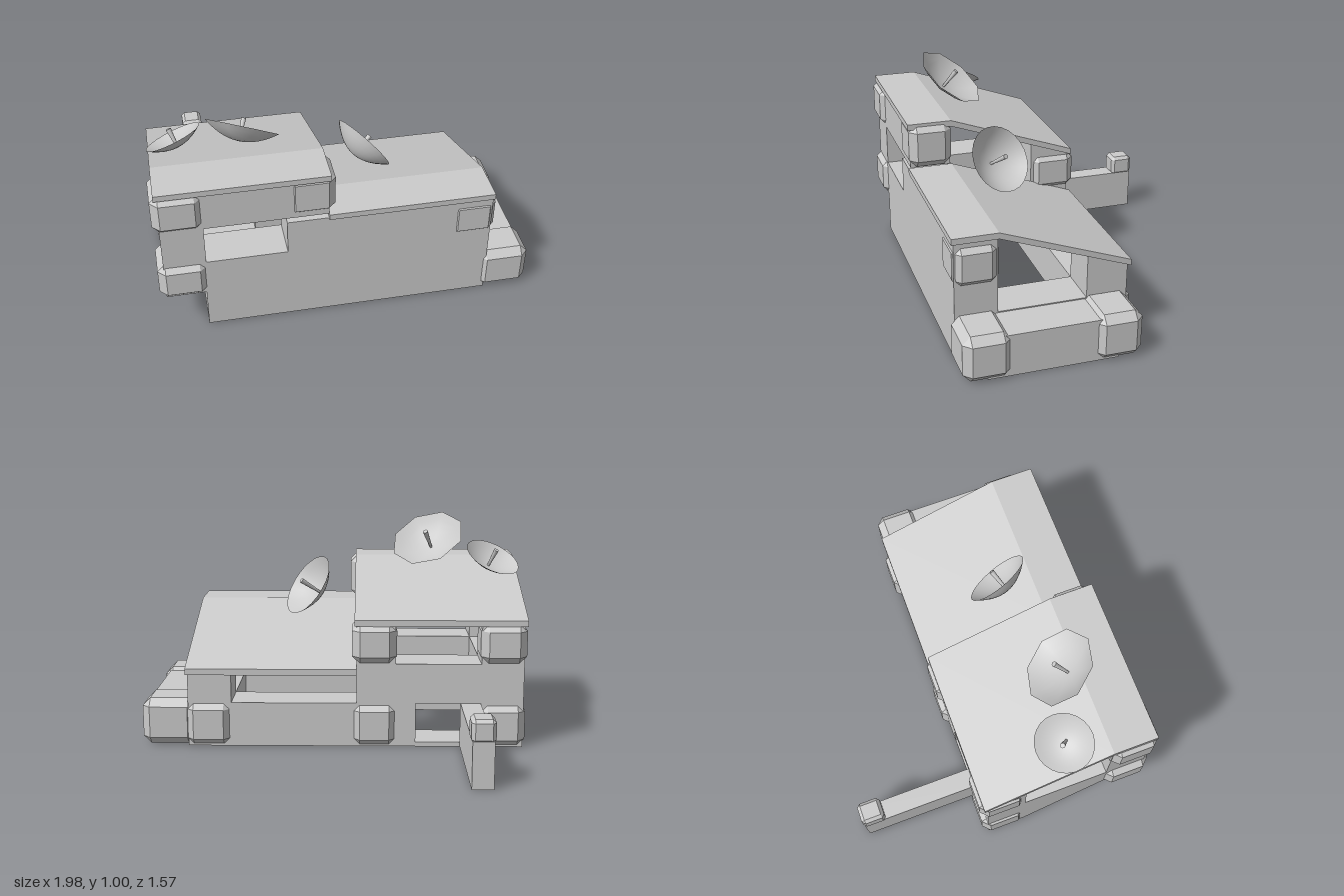
import * as THREE from 'three';
import { ConvexGeometry } from 'three/addons/geometries/ConvexGeometry.js';

const flat = new THREE.MeshStandardMaterial({ color: 0xcccccc, flatShading: true });
const smooth = new THREE.MeshStandardMaterial({ color: 0xcccccc, side: THREE.DoubleSide });

function add(parent, name, geometry, material = flat) {
  const mesh = new THREE.Mesh(geometry, material);
  mesh.name = name;
  parent.add(mesh);
  return mesh;
}

// Box given by its limits along length, height and depth
function block(parent, name, [x0, x1], [y0, y1], [z0, z1]) {
  const g = new THREE.BoxGeometry(x1 - x0, y1 - y0, z1 - z0);
  g.translate((x0 + x1) / 2, (y0 + y1) / 2, (z0 + z1) / 2);
  return add(parent, name, g);
}

// Box with all edges cut off
function chamferBlock(parent, name, [x0, x1], [y0, y1], [z0, z1], c = 0.035) {
  const half = [(x1 - x0) / 2, (y1 - y0) / 2, (z1 - z0) / 2];
  const points = [];
  for (const sx of [-1, 1]) for (const sy of [-1, 1]) for (const sz of [-1, 1]) {
    for (let full = 0; full < 3; full++) {
      const p = [sx, sy, sz].map((s, i) => s * (half[i] - (i === full ? 0 : c)));
      points.push(new THREE.Vector3(...p));
    }
  }
  const g = new ConvexGeometry(points);
  g.translate((x0 + x1) / 2, (y0 + y1) / 2, (z0 + z1) / 2);
  return add(parent, name, g);
}

// Profile of [depth, height] points drawn out along the length
function prism(parent, name, profile, x0, x1) {
  const shape = new THREE.Shape(profile.map(([z, y]) => new THREE.Vector2(-z, y)));
  const g = new THREE.ExtrudeGeometry(shape, { depth: x1 - x0, bevelEnabled: false });
  g.rotateY(Math.PI / 2);
  g.translate(x0, 0, 0);
  return add(parent, name, g);
}

// Roof: level strip at the front, then a slope down to the back
function roof(parent, name, top, eave, x0, x1) {
  const t = 0.028;
  prism(parent, name, [
    [0.43, top], [0.225, top], [-0.37, eave],
    [-0.37, eave - t], [0.225, top - t], [0.43, top - t],
  ], x0, x1);
}

// Column under the sloping part of a roof
function backColumn(parent, name, x0, x1, y0, top, eave) {
  const under = z => eave - 0.025 + (top - eave) * (z + 0.37) / 0.595;
  prism(parent, name, [
    [-0.355, y0], [-0.17, y0], [-0.17, under(-0.17)], [-0.355, under(-0.355)],
  ], x0, x1);
}

// Bowl with a thin feed rod, aimed along a direction
function dish(parent, name, position, aim, radius, depth, sides) {
  const group = new THREE.Group();
  group.name = name;
  const profile = [];
  for (let i = 0; i <= 6; i++) {
    const r = i / 6;
    profile.push(new THREE.Vector2(radius * r, depth * (r * r - 1)));
  }
  add(group, 'bowl', new THREE.LatheGeometry(profile, sides), smooth);
  const rod = add(group, 'feedRod', new THREE.CylinderGeometry(0.012, 0.006, depth + 0.04, 8), smooth);
  rod.position.y = (0.04 - depth) / 2;
  group.position.set(...position);
  group.quaternion.setFromUnitVectors(new THREE.Vector3(0, 1, 0), new THREE.Vector3(...aim).normalize());
  parent.add(group);
}

export function createModel() {
  const model = new THREE.Group();
  model.name = 'outpost';
  const house = new THREE.Group();
  house.name = 'building';
  house.rotation.y = 0.569;
  model.add(house);

  const front = [0.23, 0.42];
  const back = [-0.355, -0.17];

  // Thick front wall with a window beside the overhang
  block(house, 'frontWallBase', [-0.61, 0.712], [0, 0.38], front);
  block(house, 'frontWall', [-0.233, 0.712], [0.38, 0.55], front);
  block(house, 'upperFrontWall', [-0.79, -0.045], [0.575, 0.765], front);
  block(house, 'overhangPost', [-0.79, -0.6], [0.2, 0.6], front);

  // Frame at the overhanging end, braced underneath
  block(house, 'overhangBeam', [-0.79, -0.6], [0.2, 0.38], [-0.2, 0.3]);
  prism(house, 'overhangBrace', [[0.23, 0.2], [-0.17, 0.2], [-0.17, 0]], -0.79, -0.6);

  // Back wall: columns, low wall, raised beam and ground sill
  backColumn(house, 'backEndColumn', -0.79, -0.6, 0, 0.79, 0.58);
  backColumn(house, 'backMiddleColumn', -0.22, -0.045, 0, 0.79, 0.58);
  backColumn(house, 'backCornerColumn', 0.515, 0.71, 0, 0.575, 0.36);
  block(house, 'backLowWall', [-0.31, 0.71], [0, 0.2], back);
  block(house, 'backBeam', [-0.75, -0.1], [0.2, 0.38], back);
  block(house, 'backSill', [-0.7, -0.2], [0, 0.02], back);

  // Low end wall and the step outside it
  block(house, 'endLowWall', [0.515, 0.71], [0, 0.2], [-0.355, 0.42]);
  block(house, 'endStep', [0.7, 0.895], [0, 0.195], [-0.25, 0.33]);
  chamferBlock(house, 'stepBlock', [0.68, 0.92], [0, 0.212], [0.225, 0.435]);
  chamferBlock(house, 'stepBlock', [0.68, 0.92], [0, 0.212], [-0.355, -0.145]);

  // Chamfered blocks at the joints
  for (const y of [[0.195, 0.385], [0.575, 0.775]]) {
    chamferBlock(house, 'overhangJoint', [-0.818, -0.595], y, [0.225, 0.443]);
  }
  chamferBlock(house, 'upperWallJoint', [-0.23, -0.012], [0.575, 0.785], [0.225, 0.425]);
  chamferBlock(house, 'lowerWallJoint', [0.52, 0.735], [0.34, 0.535], [0.225, 0.425]);
  for (const x of [[-0.8, -0.595], [-0.225, -0.025]]) {
    chamferBlock(house, 'backJoint', x, [0, 0.2], [-0.38, -0.17]);
    chamferBlock(house, 'backJoint', x, [0.38, 0.565], [-0.385, -0.17]);
  }
  chamferBlock(house, 'backJoint', [0.515, 0.72], [0, 0.205], [-0.38, -0.165]);

  // Two roofs at different heights
  roof(house, 'upperRoof', 0.79, 0.58, -0.8, -0.037);
  roof(house, 'lowerRoof', 0.573, 0.358, -0.045, 0.718);

  // Thin garden wall running out from the back
  block(house, 'spurWall', [-0.6, -0.51], [0, 0.2], [-0.905, -0.34]);
  chamferBlock(house, 'spurCap', [-0.605, -0.505], [0.19, 0.29], [-0.91, -0.8], 0.015);

  // Dishes on the roofs
  dish(model, 'smallDish', [-0.555, 0.805, 0.4], [-0.5, 0.85, -0.12], 0.133, 0.05, 24);
  dish(model, 'facetedDish', [-0.25, 0.885, 0.315], [-0.03, 0.78, -0.62], 0.178, 0.065, 8);
  dish(model, 'lowerDish', [0.19, 0.668, -0.055], [0.42, 0.55, -0.72], 0.155, 0.075, 24);
  return model;
}
